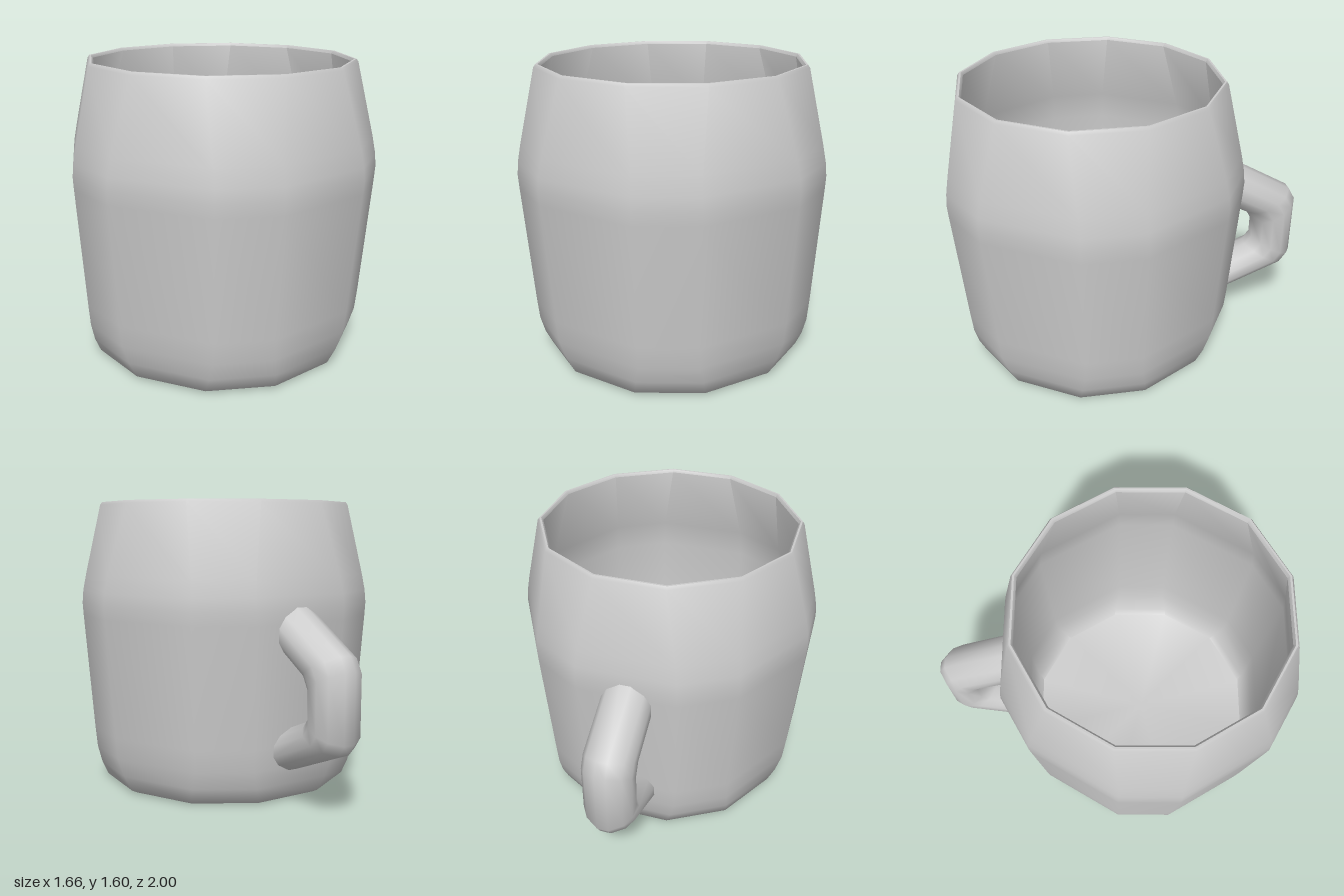
import * as THREE from 'three';
import { toCreasedNormals } from 'three/addons/utils/BufferGeometryUtils.js';

const CENTRE_Z = 0.2;

// Skin a list of closed rings (arrays of Vector3), leaving out collapsed triangles
function loft(rings, crease) {
  const n = rings[0].length;
  const index = [];
  const flat = rings.flat();
  const addTriangle = (a, b, c) => {
    const [p, q, r] = [flat[a], flat[b], flat[c]];
    if (p.distanceTo(q) > 1e-5 && q.distanceTo(r) > 1e-5 && r.distanceTo(p) > 1e-5) index.push(a, b, c);
  };
  for (let i = 0; i < rings.length - 1; i++) {
    for (let j = 0; j < n; j++) {
      const k = (j + 1) % n;
      const a = i * n + j, b = a + n, c = (i + 1) * n + k, d = i * n + k;
      addTriangle(a, b, c);
      addTriangle(a, c, d);
    }
  }
  const geometry = new THREE.BufferGeometry().setFromPoints(flat);
  geometry.setIndex(index);
  return toCreasedNormals(geometry, crease);
}

// Hexagon with cut corners; halfAngle 15 makes it a regular twelve-sided ring
function cupRing([halfWidth, y, halfAngle]) {
  const radius = halfWidth / Math.cos(THREE.MathUtils.degToRad(halfAngle));
  const ring = [];
  for (let k = 0; k < 6; k++) {
    for (const side of [-1, 1]) {
      const t = THREE.MathUtils.degToRad(k * 60 + side * halfAngle);
      ring.push(new THREE.Vector3(radius * Math.cos(t), y, CENTRE_Z + radius * Math.sin(t)));
    }
  }
  return ring;
}

// Handle section stretched between an outer and an inner point of the side outline
function handleRing([outerZ, outerY, innerZ, innerY]) {
  const half = [[0.03, 0], [0.1, 0.16], [0.135, 0.37], [0.135, 0.63], [0.1, 0.84], [0.03, 1]];
  const section = [...half.map(([x, u]) => [-x, u]), ...half.slice().reverse()];
  return section.map(([x, u]) => new THREE.Vector3(
    x, THREE.MathUtils.lerp(outerY, innerY, u), THREE.MathUtils.lerp(outerZ, innerZ, u)));
}

export function createModel() {
  const group = new THREE.Group();
  const material = new THREE.MeshStandardMaterial({ color: 0xcccccc, side: THREE.DoubleSide });

  // Cup: base, outer wall, rim, inner wall and floor as [half width, height, half angle]
  const profile = [
    [0, 0, 15], [0.665, 0, 15], [0.695, 0.015, 14.5], [0.735, 0.1, 13], [0.765, 0.2, 11.5],
    [0.777, 0.32, 11.2], [0.824, 0.97, 11.2], [0.828, 1.04, 11.2], [0.822, 1.11, 11.2], [0.803, 1.2, 11.5],
    [0.7, 1.585, 15], [0.69, 1.6, 15], [0.68, 1.6, 15], [0.67, 1.585, 15],
    [0.772, 1.2, 11.5], [0.797, 1.04, 11.2], [0.747, 0.32, 11.2], [0.735, 0.2, 11.5],
    [0.69, 0.08, 14], [0.66, 0.05, 15], [0, 0.05, 15],
  ];
  const cup = new THREE.Mesh(loft(profile.map(cupRing), THREE.MathUtils.degToRad(50)), material);
  cup.name = 'cup';
  group.add(cup);

  // Handle: angular loop with bevelled bends, its ends sunk into the wall
  const outline = [
    [-0.585, 1.06, -0.565, 0.79],
    [-0.96, 0.85, -0.715, 0.71],
    [-1, 0.78, -0.755, 0.64],
    [-1, 0.42, -0.755, 0.535],
    [-0.96, 0.36, -0.715, 0.485],
    [-0.52, 0.17, -0.54, 0.41],
  ];
  const handle = new THREE.Mesh(loft(outline.map(handleRing), THREE.MathUtils.degToRad(60)), material);
  handle.name = 'handle';
  group.add(handle);

  return group;
}
